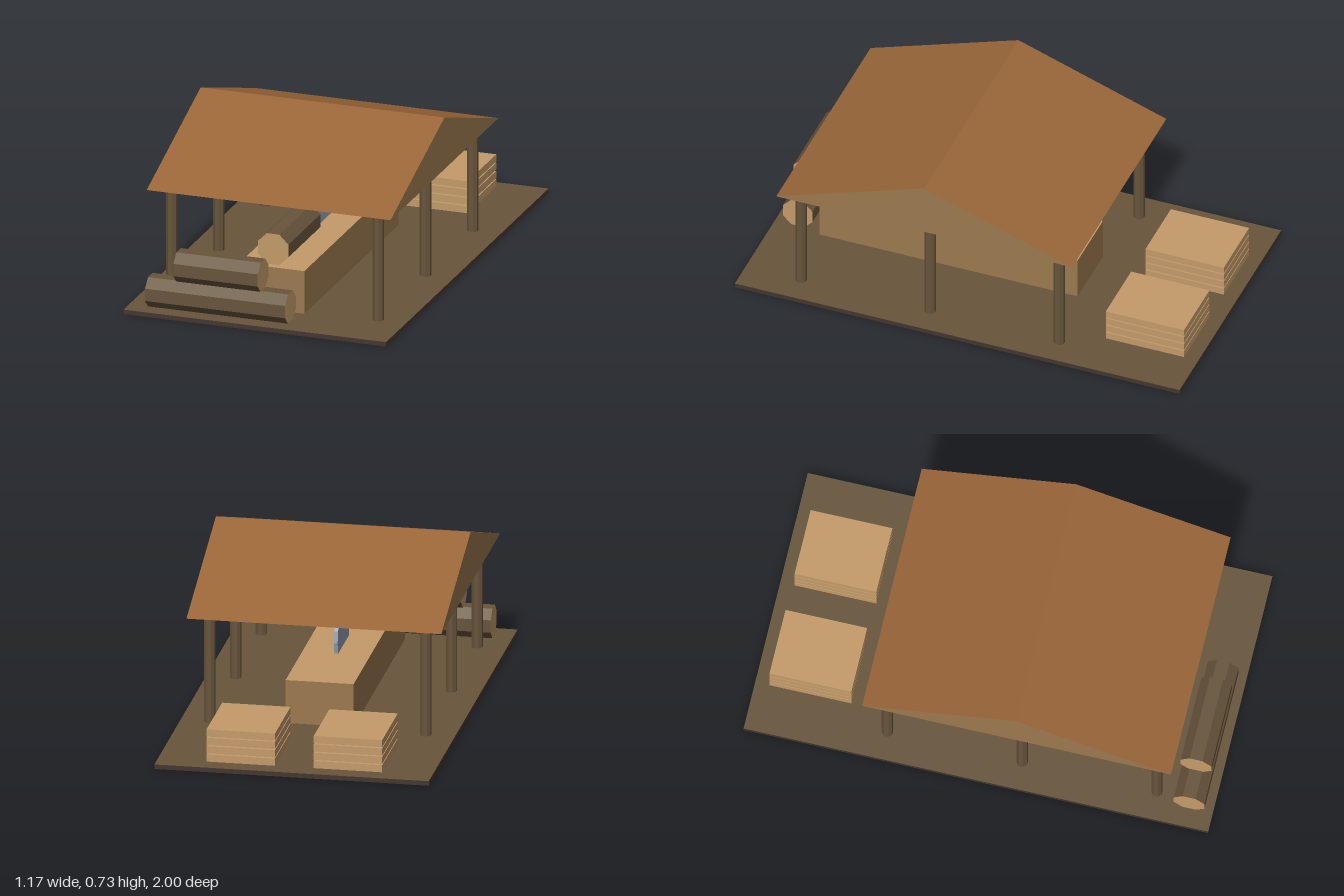
import * as THREE from 'three';

function mat(name, color, side = THREE.FrontSide) {
  const m = new THREE.MeshStandardMaterial({ color, flatShading: true, side });
  m.name = name;
  return m;
}

export function createModel() {
  const darkWood = mat('dark wood', 0x68553c);
  const edgeWood = mat('dark edge', 0x443630);
  const midWood = mat('bench wood', 0x9c794f);
  const gableWood = mat('gable wood', 0x9c794f, THREE.DoubleSide);
  const paleWood = mat('pale cut wood', 0xc49b6a);
  const roofMat = mat('roof brown', 0x9a6638, THREE.DoubleSide);
  const steel = mat('steel', 0x95a1b2);

  const model = new THREE.Group();
  model.name = 'sawmill';

  function add(name, geometry, material, x = 0, y = 0, z = 0) {
    const mesh = new THREE.Mesh(geometry, material);
    mesh.name = name;
    mesh.position.set(x, y, z);
    model.add(mesh);
    return mesh;
  }

  // Octagonal prism with flat faces on its axes; a is half the width across flats
  function octagon(a, length) {
    const r = a / Math.cos(Math.PI / 8);
    return new THREE.CylinderGeometry(r, r, length, 8).rotateY(Math.PI / 8);
  }

  // Ground slab, darker around its rim
  add('groundSlab', new THREE.BoxGeometry(1.17, 0.02, 2),
    [edgeWood, edgeWood, darkWood, darkWood, edgeWood, edgeWood], 0, 0.01, 0);

  // Six roof posts
  for (const x of [-0.46, 0.46])
    for (const z of [0.75, 0.17, -0.41])
      add('post', octagon(0.0225, 0.48), darkWood, x, 0.26, z);

  // Roof: two slopes and two gable ends, open underneath
  const hx = 0.543, eave = 0.5, ridge = 0.73, zf = 0.83, zr = 0.165, zb = -0.5;
  function panel(name, material, ...corners) {
    const g = new THREE.BufferGeometry();
    g.setAttribute('position', new THREE.Float32BufferAttribute(corners.flat(), 3));
    g.setIndex(corners.length === 4 ? [0, 1, 2, 0, 2, 3] : [0, 1, 2]);
    g.computeVertexNormals();
    add(name, g, material);
  }
  panel('frontRoofSlope', roofMat, [-hx, eave, zf], [hx, eave, zf], [hx, ridge, zr], [-hx, ridge, zr]);
  panel('backRoofSlope', roofMat, [hx, eave, zb], [-hx, eave, zb], [-hx, ridge, zr], [hx, ridge, zr]);
  panel('leftGable', gableWood, [hx, eave, zf], [hx, eave, zb], [hx, ridge, zr]);
  panel('rightGable', gableWood, [-hx, eave, zb], [-hx, eave, zf], [-hx, ridge, zr]);

  // Saw bench with a pale top, and the blade rising through it
  add('sawBench', new THREE.BoxGeometry(0.29, 0.19, 1.16),
    [midWood, midWood, paleWood, midWood, midWood, midWood], 0, 0.115, 0.21);
  add('sawBlade', new THREE.CylinderGeometry(0.132, 0.132, 0.016, 16).rotateZ(Math.PI / 2),
    steel, 0, 0.258, 0.127);

  // Logs with pale cut ends
  const logMats = [darkWood, paleWood, paleWood];
  add('benchLog', octagon(0.068, 0.395).rotateX(Math.PI / 2), logMats, 0, 0.285, 0.5775);
  add('lowerLog', octagon(0.066, 0.624).rotateZ(Math.PI / 2), logMats, -0.19, 0.084, 0.898);
  add('upperLog', octagon(0.066, 0.376).rotateZ(Math.PI / 2), logMats, -0.188, 0.21, 0.898);

  // Two stacks of sawn boards with gaps between the layers
  for (const x of [-0.2285, 0.2285])
    for (let i = 0; i < 4; i++)
      add('boardLayer', new THREE.BoxGeometry(0.292, 0.0315, 0.352), paleWood,
        x, 0.041 + i * 0.037, -0.762);

  return model;
}
